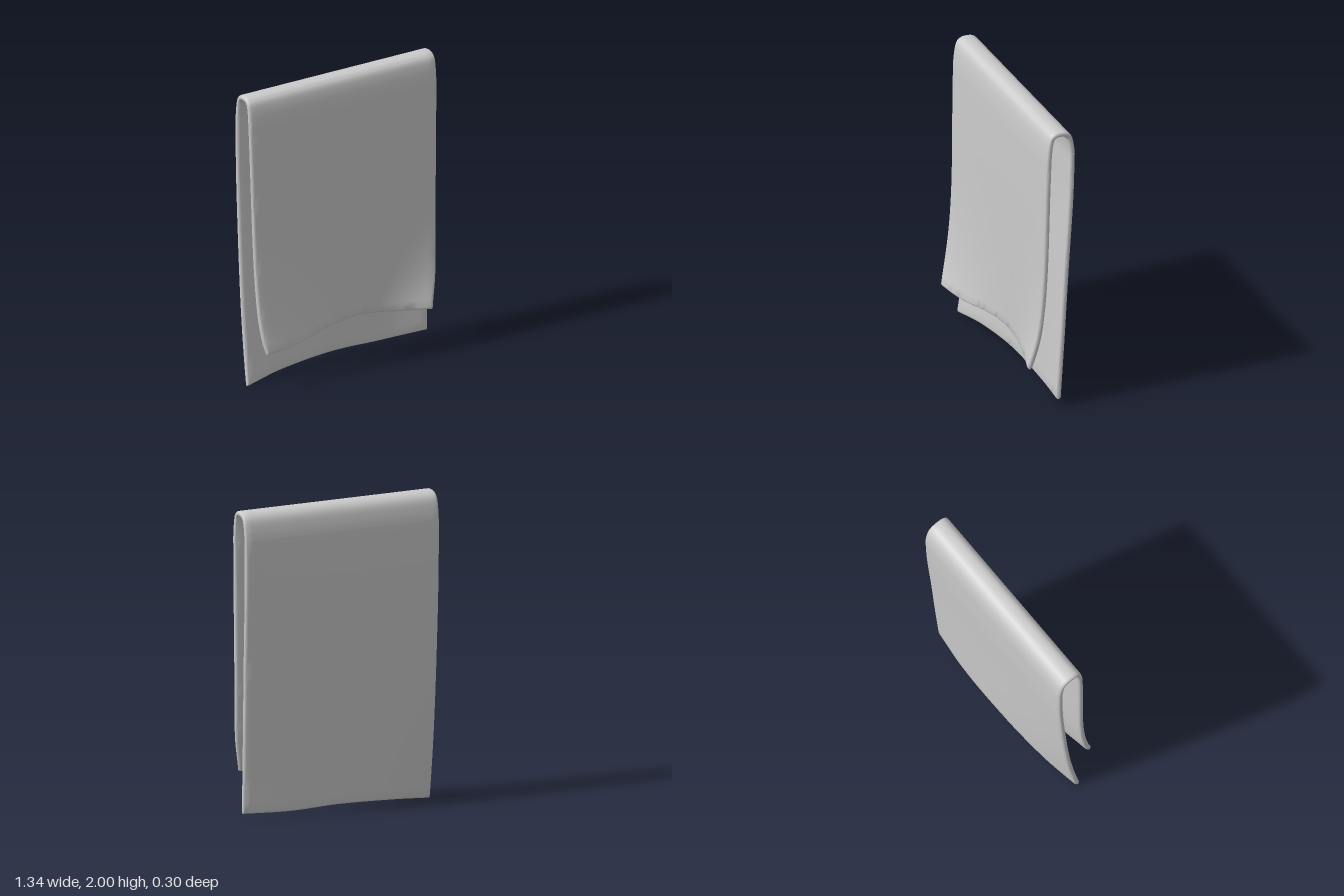
import * as THREE from 'three';
import { toCreasedNormals } from 'three/addons/utils/BufferGeometryUtils.js';

const HALF = 0.017; // half the cloth thickness
const TOP = 1.82; // height where the hanging panels meet the fold

// Smooth curve through [x, y] pairs
function curve(pts) {
  const slope = (i) => {
    const a = pts[Math.max(i - 1, 0)], b = pts[Math.min(i + 1, pts.length - 1)];
    return (b[1] - a[1]) / (b[0] - a[0]);
  };
  return (x) => {
    let i = 0;
    while (i < pts.length - 2 && x > pts[i + 1][0]) i++;
    const [x0, y0] = pts[i], [x1, y1] = pts[i + 1];
    const w = x1 - x0, t = (x - x0) / w, s = 1 - t;
    return y0 * (1 + 2 * t) * s * s + slope(i) * w * t * s * s
      + y1 * t * t * (3 - 2 * t) - slope(i + 1) * w * t * t * s;
  };
}

// Front panel: hem height and flare across u (-1..1), edges and depth down f (0..1)
const frontHem = curve([[-1, 0.268], [-0.74, 0.262], [-0.5, 0.275], [-0.25, 0.305], [0.1, 0.331], [0.35, 0.32], [0.6, 0.3], [1, 0.288]]);
const frontFlare = curve([[-1, 0.105], [-0.66, 0.068], [-0.33, 0.033], [0, 0.012], [0.4, 0], [0.67, 0.028], [1, 0.09]]);
const frontLeft = curve([[0, 0.67], [0.5, 0.655], [0.75, 0.642], [0.87, 0.627], [1, 0.587]]);
const frontRight = curve([[0, -0.672], [0.5, -0.654], [0.85, -0.64], [0.95, -0.626], [1, -0.61]]);
const frontDepth = curve([[0, 0.023], [0.25, 0.032], [0.6, 0.036], [1, 0.035]]);

// Back panel
const backHem = curve([[-1, 0.006], [-0.6, 0.035], [0, 0.056], [0.5, 0.048], [1, 0.057]]);
const backCurlRight = curve([[-1, 0.08], [-0.6, 0.03], [0, 0], [1, 0]]);
const backCurlLeft = curve([[-1, 0], [0, 0], [0.6, 0.008], [1, 0.033]]);
const backDepth = curve([[0, -0.138], [0.18, -0.136], [0.46, -0.117], [0.75, -0.1], [1, -0.083]]);

// Fold over the top
const fold = new THREE.CatmullRomCurve3([
  [0.023, TOP], [0.012, 1.92], [-0.002, 1.965], [-0.022, 1.98], [-0.055, 1.983],
  [-0.09, 1.975], [-0.115, 1.95], [-0.132, 1.88], [-0.138, TOP],
].map(([z, y]) => new THREE.Vector3(0, y, z)));

// Middle surface of the cloth: v 0..1 front, 1..2 fold, 2..3 back
function sheet(u, v) {
  const across = (u + 1) / 2, mix = THREE.MathUtils.lerp;
  if (v < 1) {
    const f = 1 - v;
    return new THREE.Vector3(
      mix(frontRight(f), frontLeft(f), across),
      mix(TOP, frontHem(u), f),
      frontDepth(f) + frontFlare(u) * Math.pow(Math.max(f, 0), 4.3));
  }
  if (v <= 2) {
    const p = fold.getPoint(v - 1);
    p.x = mix(-0.672, 0.67, across);
    return p;
  }
  const f = v - 2;
  return new THREE.Vector3(
    mix(-0.672, 0.67 - 0.024 * f, across),
    mix(TOP, backHem(u), f),
    backDepth(f) + backCurlRight(u) * f ** 3 + backCurlLeft(u) * f);
}

// Point offset to one face of the cloth
function offset(u, v, h) {
  const e = 0.002;
  const du = sheet(Math.min(u + e, 1), v).sub(sheet(Math.max(u - e, -1), v));
  const dv = sheet(u, Math.min(v + e, 3)).sub(sheet(u, Math.max(v - e, 0)));
  return sheet(u, v).addScaledVector(du.cross(dv).normalize(), h);
}

function clothGeometry() {
  // Stations [parameter, thickness factor], thinning at the rims to round them
  const us = [[-1, 0.3], [-0.994, 0.72], [-0.985, 0.92], [-0.972, 1]];
  for (let i = 1; i < 40; i++) us.push([-0.972 + (1.944 * i) / 40, 1]);
  us.push([0.972, 1], [0.985, 0.92], [0.994, 0.72], [1, 0.3]);

  const vs = [[0, 0.55], [0.003, 0.85], [0.008, 1]];
  for (let i = 1; i < 32; i++) vs.push([0.008 + (0.992 * i) / 32, 1]);
  for (let i = 0; i <= 32; i++) vs.push([1 + i / 32, 1]);
  for (let i = 1; i < 32; i++) vs.push([2 + (0.992 * i) / 32, 1]);
  vs.push([2.992, 1], [2.997, 0.85], [3, 0.55]);

  // Each row is a closed loop: outer face, then inner face back again
  const loop = [
    ...us.map(([u, k]) => [u, k * HALF]),
    ...us.map(([u, k]) => [u, -k * HALF]).reverse(),
  ];
  const n = loop.length, positions = [], index = [];
  for (const [v, k] of vs) {
    for (const [u, h] of loop) positions.push(...offset(u, v, h * k).toArray());
  }
  const quad = (a, b, c, d) => index.push(a, b, c, a, c, d);
  for (let j = 0; j < vs.length - 1; j++) {
    for (let i = 0; i < n; i++) {
      const a = j * n + i, b = j * n + ((i + 1) % n);
      quad(a, b, b + n, a + n);
    }
  }
  // Hem edges
  const last = (vs.length - 1) * n;
  for (let i = 0; i < us.length - 1; i++) {
    const inner = n - 1 - i;
    quad(i, inner, inner - 1, i + 1);
    quad(last + i, last + i + 1, last + inner - 1, last + inner);
  }
  const geometry = new THREE.BufferGeometry();
  geometry.setAttribute('position', new THREE.Float32BufferAttribute(positions, 3));
  geometry.setIndex(index);
  return toCreasedNormals(geometry, 0.9);
}

export function createModel() {
  const group = new THREE.Group();
  group.name = 'hangingTowel';
  const cloth = new THREE.Mesh(
    clothGeometry(),
    new THREE.MeshStandardMaterial({ color: 0xcccccc }));
  cloth.name = 'foldedCloth';
  group.add(cloth);
  return group;
}
